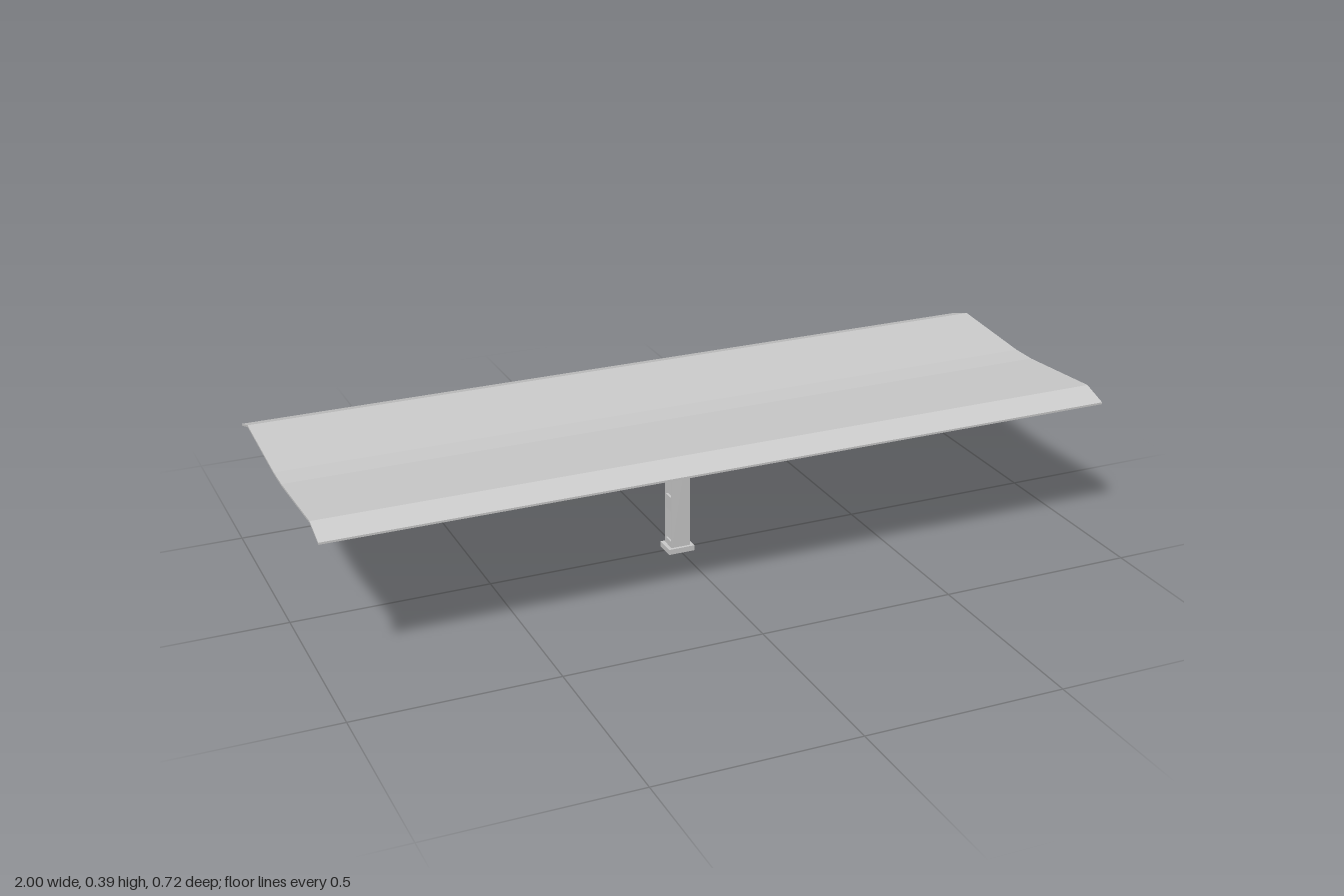
import * as THREE from 'three';

const CZ = 0.002; // the frame sits a touch forward of centre

export function createModel() {
  const group = new THREE.Group();
  const material = new THREE.MeshStandardMaterial({ color: 0xcccccc, flatShading: true });

  const add = (name, geometry) => {
    const mesh = new THREE.Mesh(geometry, material);
    mesh.name = name;
    group.add(mesh);
    return mesh;
  };
  const box = (name, w, h, d, x, y, z) =>
    add(name, new THREE.BoxGeometry(w, h, d).translate(x, y, z));

  // Extrudes a [z, y] outline along x
  const extrudeX = (name, points, width, x = 0) => {
    const shape = new THREE.Shape(points.map(([z, y]) => new THREE.Vector2(-z, y)));
    const geometry = new THREE.ExtrudeGeometry(shape, { depth: width, bevelEnabled: false });
    geometry.translate(0, 0, -width / 2).rotateY(Math.PI / 2).translate(x, 0, 0);
    return add(name, geometry);
  };

  // Thin band following a [z, y] line, mirrored front to back
  const band = (name, half, thickness, width) => {
    const top = [...half, ...half.map(([z, y]) => [-z, y]).reverse()];
    const bottom = top.map(([z, y]) => [z, y - thickness]).reverse();
    return extrudeX(name, [...top, ...bottom].map(([z, y]) => [z + CZ / 2, y]), width);
  };

  // Roof: shallow valley with drooping eaves
  band('roof', [[0.362, 0.371], [0.294, 0.393], [0.036, 0.374]], 0.005, 2);

  // Arms: upper and lower flanges
  band('upperFlange', [[0.293, 0.388], [0.036, 0.369]], 0.005, 0.066);
  band('lowerFlange', [[0.291, 0.37], [0.036, 0.337]], 0.004, 0.066);

  // Arm batten plates on both faces
  for (const side of [1, -1]) {
    for (const x of [-0.03, 0.03]) {
      const plate = (name, points) =>
        extrudeX(name, points.map(([z, y]) => [side * z + CZ / 2, y]), 0.005, x);
      plate('armEndPlate', [[0.293, 0.386], [0.263, 0.384], [0.264, 0.365], [0.289, 0.368]]);
      plate('armMiddlePlate', [[0.168, 0.376], [0.137, 0.374], [0.132, 0.348], [0.162, 0.352]]);
    }
  }

  // Head block joining the arms to the post
  box('headBlock', 0.066, 0.036, 0.07, 0, 0.351, CZ);

  // Post: front and back plates around a central pipe
  const postTop = 0.335, postFoot = 0.014;
  const postHeight = postTop - postFoot, postMid = (postTop + postFoot) / 2;
  for (const z of [-0.018, 0.018]) {
    box('postPlate', 0.05, postHeight, 0.005, 0, postMid, z + CZ);
  }
  add('drainPipe', new THREE.CylinderGeometry(0.009, 0.009, postHeight, 16).translate(0, postMid, CZ));

  // Post batten plates
  for (const [y, h] of [[0.022, 0.016], [0.1325, 0.039], [0.2535, 0.041]]) {
    for (const x of [-0.0225, 0.0225]) box('postBatten', 0.005, h, 0.036, x, y, CZ);
  }

  box('basePlate', 0.07, 0.014, 0.056, 0, 0.007, CZ);

  return group;
}
